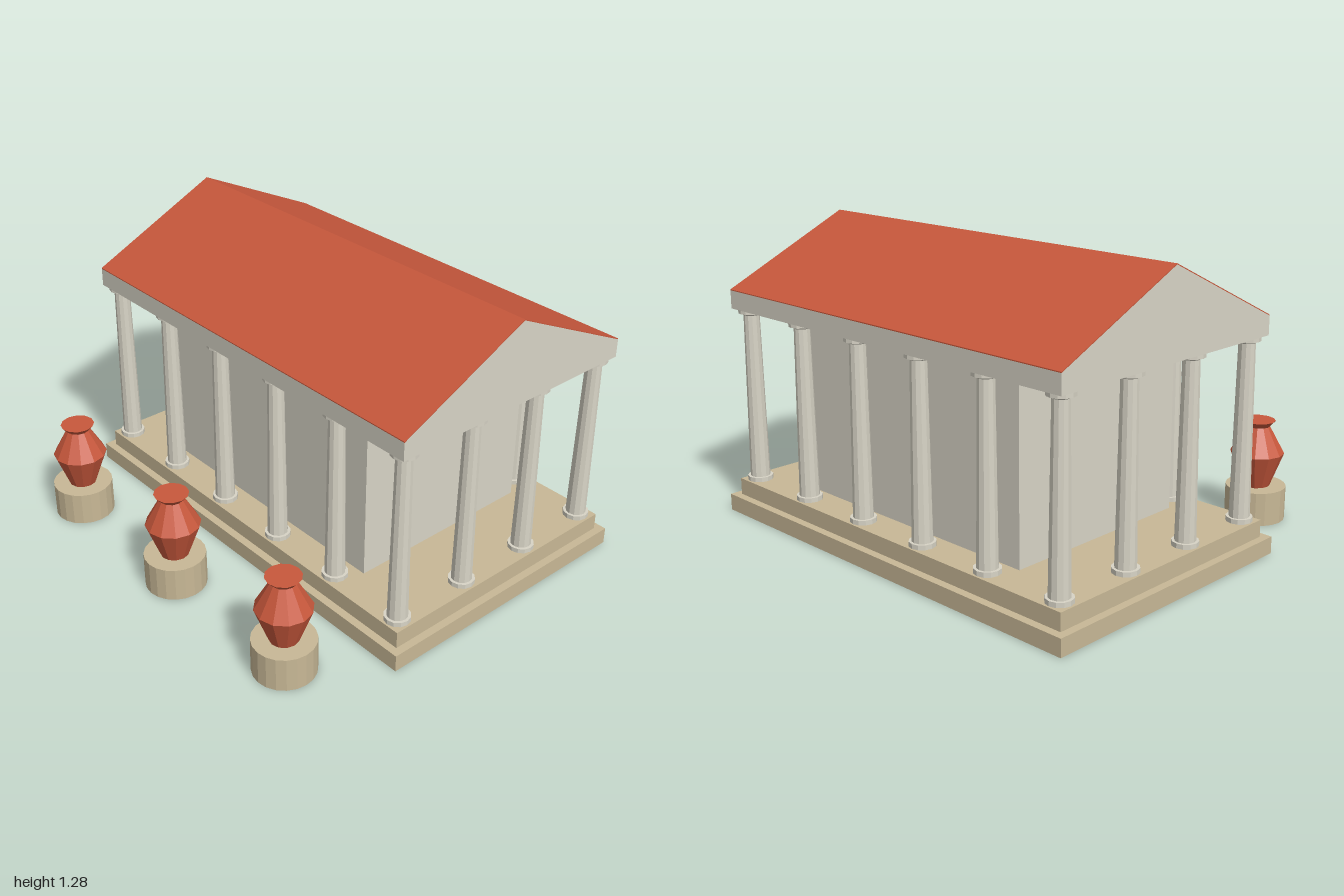
import * as THREE from 'three';

export function createModel() {
  const model = new THREE.Group();
  model.name = 'temple';
  const paint = (name, color) => {
    const m = new THREE.MeshStandardMaterial({ color, flatShading: true });
    m.name = name;
    return m;
  };
  const marble = paint('pale marble', 0xd8d4c6);
  const sandstone = paint('sandstone', 0xc8b896);
  const terracotta = paint('terracotta', 0xc8583c);

  const add = (parent, name, geometry, material, x = 0, y = 0, z = 0) => {
    const mesh = new THREE.Mesh(geometry, material);
    mesh.name = name;
    mesh.position.set(x, y, z);
    parent.add(mesh);
    return mesh;
  };

  // The building sits behind the row of urns
  const building = new THREE.Group();
  building.name = 'building';
  building.position.z = -0.218;
  model.add(building);

  const floorY = 0.147, beamY = 0.917, eaveY = 1.0, ridgeY = 1.28;
  const halfX = 0.96, halfZ = 0.596;

  // Two-step platform and inner chamber
  add(building, 'lowerStep', new THREE.BoxGeometry(2, 0.0735, 1.264), sandstone, 0, 0.03675, 0);
  add(building, 'upperStep', new THREE.BoxGeometry(1.932, 0.0735, 1.194), sandstone, 0, 0.11025, 0);
  add(building, 'chamber', new THREE.BoxGeometry(1.232, beamY - floorY, 0.888), marble,
    0, (floorY + beamY) / 2, 0);

  // Profiles in the z-y plane, extruded along x
  const prism = (points) => {
    const g = new THREE.ExtrudeGeometry(
      new THREE.Shape(points.map(([z, y]) => new THREE.Vector2(z, y))),
      { depth: halfX * 2, bevelEnabled: false });
    g.translate(0, 0, -halfX);
    g.rotateY(-Math.PI / 2);
    return g;
  };
  const skin = 0.004;
  add(building, 'beamAndGables', prism([
    [-halfZ, beamY], [halfZ, beamY], [halfZ, eaveY - skin], [0, ridgeY - skin], [-halfZ, eaveY - skin],
  ]), marble);
  add(building, 'roofCovering', prism([
    [halfZ, eaveY - skin], [halfZ, eaveY], [0, ridgeY], [-halfZ, eaveY], [-halfZ, eaveY - skin], [0, ridgeY - skin],
  ]), terracotta);

  // Columns around the edge of the platform
  const plinth = new THREE.CylinderGeometry(0.055, 0.055, 0.02, 12);
  const shaft = new THREE.CylinderGeometry(0.034, 0.043, beamY - floorY - 0.04, 12);
  const neck = new THREE.CylinderGeometry(0.046, 0.036, 0.008, 12);
  const capital = new THREE.CylinderGeometry(0.055, 0.055, 0.018, 12);
  const addColumn = (x, z) => {
    const column = new THREE.Group();
    column.name = 'column';
    column.position.set(x, 0, z);
    add(column, 'columnBase', plinth, marble, 0, floorY + 0.01, 0);
    add(column, 'columnShaft', shaft, marble, 0, (floorY + beamY) / 2, 0);
    add(column, 'columnNeck', neck, marble, 0, beamY - 0.022, 0);
    add(column, 'columnCapital', capital, marble, 0, beamY - 0.009, 0);
    building.add(column);
  };
  for (let i = 0; i < 6; i++) {
    for (let j = 0; j < 4; j++) {
      if (i > 0 && i < 5 && j > 0 && j < 3) continue;
      addColumn(-0.903 + i * 0.3612, 0.535 - j * 0.3567);
    }
  }

  // Urns on round pedestals in front
  const pedestal = new THREE.CylinderGeometry(0.13, 0.13, 0.147, 20);
  const urn = new THREE.LatheGeometry([
    [0, 0], [0.06, 0], [0.116, 0.15], [0.05, 0.268], [0.073, 0.294], [0, 0.294],
  ].map(([r, y]) => new THREE.Vector2(r, y)), 12);
  for (const x of [-0.706, 0, 0.706]) {
    const stand = new THREE.Group();
    stand.name = 'urnStand';
    stand.position.set(x, 0, 0.72);
    add(stand, 'pedestal', pedestal, sandstone, 0, 0.0735, 0);
    add(stand, 'urn', urn, terracotta, 0, 0.147, 0);
    model.add(stand);
  }
  return model;
}
